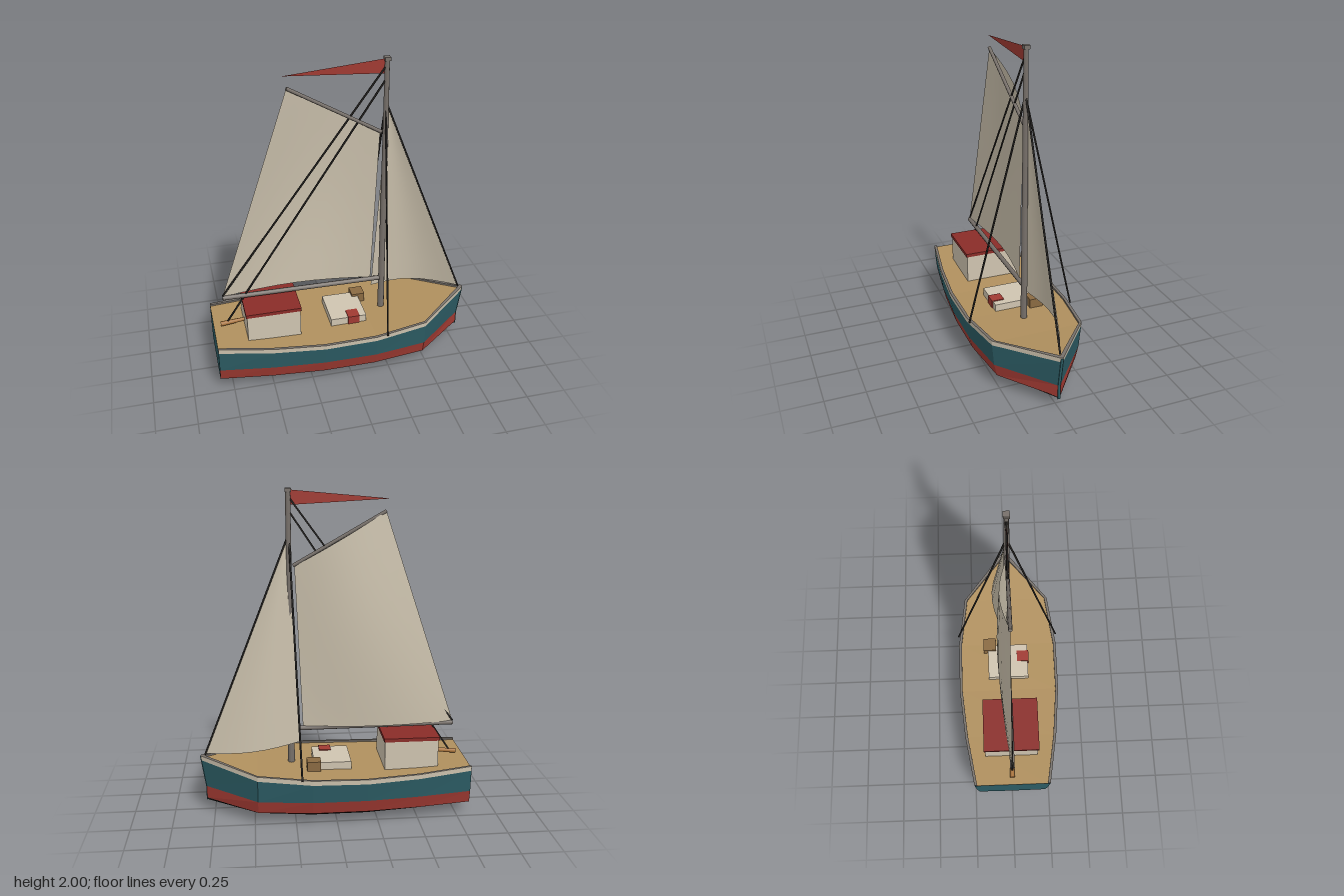
import * as THREE from 'three';

const C = {
  teal: 0x2c5c64, red: 0xa03a32, black: 0x1c1b1a, cream: 0xcfc4b0, deck: 0xb0905e, rail: 0x77716b,
  spar: 0x77706a, rope: 0x22201e, sail: 0xc9bfab, roof: 0x8a2c28, wood: 0x8a6a42, tiller: 0xa87238,
};
const mat = (color, extra = {}) => new THREE.MeshStandardMaterial({ color, ...extra });
const flat = (color) => mat(color, { flatShading: true, side: THREE.DoubleSide });
const V = (x, y, z = 0) => new THREE.Vector3(x, y, z);

function mesh(name, geometry, material) {
  const m = new THREE.Mesh(geometry, material);
  m.name = name;
  return m;
}

// Strip of quads between a lower and an upper row of points
function band(name, color, lower, upper) {
  const pos = [];
  for (let i = 0; i < lower.length - 1; i++) {
    const [a, b, c, d] = [lower[i], lower[i + 1], upper[i + 1], upper[i]];
    for (const p of [a, b, c, a, c, d]) pos.push(p.x, p.y, p.z);
  }
  const g = new THREE.BufferGeometry();
  g.setAttribute('position', new THREE.Float32BufferAttribute(pos, 3));
  g.computeVertexNormals();
  return mesh(name, g, flat(color));
}

function box(name, color, [x0, x1], [y0, y1], [z0, z1]) {
  const m = mesh(name, new THREE.BoxGeometry(x1 - x0, y1 - y0, z1 - z0), mat(color));
  m.position.set((x0 + x1) / 2, (y0 + y1) / 2, (z0 + z1) / 2);
  return m;
}

// Round bar from point a to point b
function bar(name, color, a, b, r0, r1 = r0, sides = 8) {
  const d = b.clone().sub(a);
  const m = mesh(name, new THREE.CylinderGeometry(r1, r0, d.length(), sides), mat(color));
  m.position.copy(a).add(b).multiplyScalar(0.5);
  m.quaternion.setFromUnitVectors(V(0, 1), d.normalize());
  return m;
}

// Curved cloth: point(u, v) gives the surface position
function cloth(name, point) {
  const g = new THREE.PlaneGeometry(1, 1, 8, 8);
  const p = g.attributes.position, uv = g.attributes.uv;
  for (let i = 0; i < p.count; i++) {
    const q = point(uv.getX(i), uv.getY(i));
    p.setXYZ(i, q.x, q.y, q.z);
  }
  g.computeVertexNormals();
  return mesh(name, g, mat(C.sail, { side: THREE.DoubleSide }));
}

function buildHull() {
  const hull = new THREE.Group();
  hull.name = 'hull';
  // Stations from stern to bow: x, half beam, sheer height, keel height
  const stations = [
    [-0.83, 0.25, 0.332, 0.07], [-0.5, 0.305, 0.315, 0.02], [-0.18, 0.336, 0.307, 0.004],
    [0.15, 0.336, 0.312, 0.004], [0.48, 0.29, 0.332, 0.025], [0.83, 0.008, 0.367, 0.07],
  ];
  const bowX = (x, y, top) => (x > 0.8 ? 0.8 + 0.03 * Math.max(0, (y - 0.16) / (top - 0.16)) : x);
  // Row of points round the hull: along the left... bow ... and back along the other side
  const ring = (width, height, inset = 0) => {
    const side = (s) => stations.map(([x, w, top, keel]) => {
      const y = height(top, keel), bow = x > 0.8;
      return V(bowX(x, y, top) - (bow ? inset * 1.4 : 0), y, s * Math.max(0, w * width - inset));
    });
    return [...side(1), ...side(-1).reverse()];
  };
  const keel = ring(0, (t, k) => k);
  const bilge = ring(0.69, (t, k) => k + (0.085 - k) * 0.52);
  const chine = ring(0.89, () => 0.085);
  const water = ring(0.95, () => 0.163);
  const strake = ring(0.994, (t) => t - 0.03);
  const sheer = ring(1, (t) => t);
  const inner = ring(1, (t) => t, 0.018);
  const deck = ring(1, (t) => t - 0.012, 0.018);
  hull.add(
    band('bottomInner', C.black, keel, bilge), band('bottomOuter', C.black, bilge, chine),
    band('waterlineBand', C.red, chine, water), band('topsides', C.teal, water, strake),
    band('rubbingStrake', C.cream, strake, sheer),
    band('railCap', C.rail, sheer, inner), band('railInside', C.rail, inner, deck),
    band('deck', C.deck, deck.slice(0, 6), deck.slice(6).reverse()),
  );
  // Transom, as horizontal strips across the stern
  const rows = [keel, bilge, chine, water, strake, ring(1, (t) => t - 0.012)];
  const left = rows.map((r) => r[0]), right = rows.map((r) => r[11]);
  hull.add(band('transom', C.teal, left, right));
  // Stem post
  const s = new THREE.Shape();
  [[0.78, 0.075], [0.803, 0.07], [0.803, 0.16], [0.833, 0.36], [0.8, 0.36]].forEach(([x, y], i) =>
    i ? s.lineTo(x, y) : s.moveTo(x, y));
  const stem = mesh('stem', new THREE.ExtrudeGeometry(s, { depth: 0.016, bevelEnabled: false }), mat(C.teal));
  stem.position.z = -0.008;
  hull.add(stem);
  return hull;
}

export function createModel() {
  const boat = new THREE.Group();
  boat.name = 'sailingBoat';
  boat.add(buildHull());

  // Deck fittings
  boat.add(
    box('cabin', C.cream, [-0.635, -0.303], [0.29, 0.482], [-0.173, 0.173]),
    box('cabinRoof', C.roof, [-0.642, -0.297], [0.48, 0.502], [-0.18, 0.18]),
    box('hatch', C.cream, [-0.1, 0.13], [0.28, 0.345], [-0.135, 0.135]),
    box('redBox', C.red, [0.01, 0.085], [0.29, 0.351], [0.062, 0.142]),
    box('crate', C.wood, [0.09, 0.175], [0.29, 0.361], [-0.165, -0.08]),
    bar('tiller', C.tiller, V(-0.785, 0.338), V(-0.62, 0.354), 0.016, 0.011),
  );

  // Mast and spars
  boat.add(
    bar('mast', C.spar, V(0.265, 0.28), V(0.265, 1.985), 0.022, 0.015),
    box('mastCap', C.spar, [0.247, 0.283], [1.978, 2], [-0.018, 0.018]),
    bar('boom', C.spar, V(-0.76, 0.532), V(0.265, 0.526), 0.015),
    bar('gaff', C.spar, V(-0.315, 1.863), V(0.24, 1.548), 0.011),
  );

  // Mainsail: four corners with a belly toward -z
  const tack = V(0.19, 0.54), throat = V(0.232, 1.545), peak = V(-0.315, 1.863), clew = V(-0.76, 0.542);
  boat.add(cloth('mainsail', (u, v) => {
    const p = clew.clone().lerp(tack, u).lerp(peak.clone().lerp(throat, u), v);
    p.z = -(0.05 + 0.022 * Math.sin(Math.PI * v)) * Math.sin(Math.PI * u);
    return p;
  }));

  // Jib: triangle on the forestay, fullest at its foot
  const head = V(0.275, 1.7), jibTack = V(0.797, 0.378), jibClew = V(0.205, 0.452, -0.035);
  boat.add(cloth('jib', (u, v) => {
    const p = jibClew.clone().lerp(jibTack, u).lerp(head, v);
    p.z -= 0.08 * Math.sin(Math.PI * u) * (1 - v);
    return p;
  }));

  // Standing rigging
  const rope = (name, a, b) => boat.add(bar(name, C.rope, a, b, 0.006, 0.006, 6));
  rope('forestay', V(0.27, 1.72), V(0.802, 0.372));
  rope('toppingLift', V(0.258, 1.945), V(-0.76, 0.545));
  rope('backstay', V(0.258, 1.865), V(-0.745, 0.345));
  for (const s of [1, -1]) rope(s > 0 ? 'shroudFront' : 'shroudBack', V(0.262, 1.72), V(0.215, 0.312, s * 0.338));

  // Pennant at the masthead
  const flag = new THREE.Shape([[0.255, 1.99], [-0.34, 1.935], [0.255, 1.903]].map(([x, y]) => new THREE.Vector2(x, y)));
  boat.add(mesh('pennant', new THREE.ShapeGeometry(flag), mat(C.red, { side: THREE.DoubleSide })));
  return boat;
}
